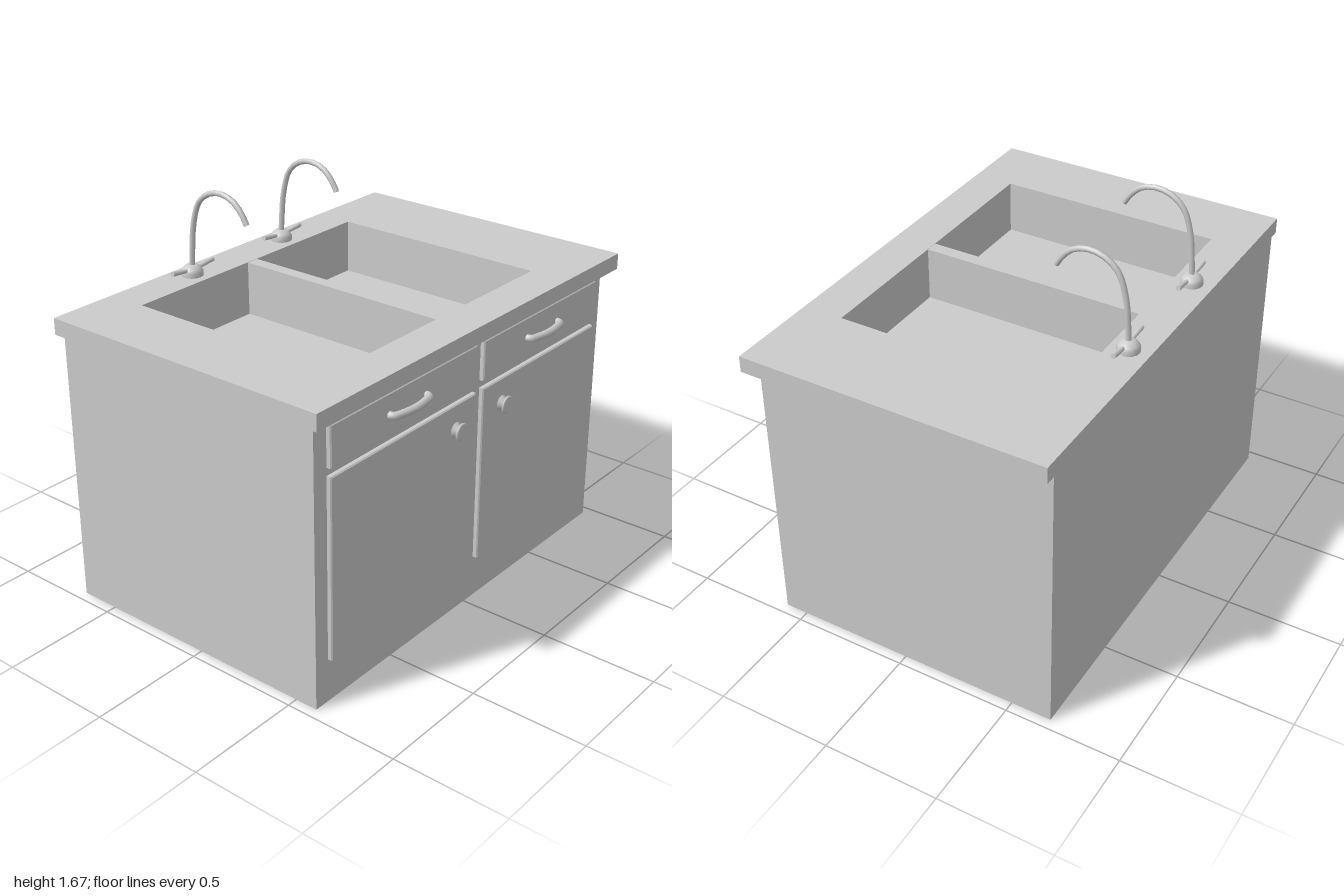
import * as THREE from 'three';

const mat = new THREE.MeshStandardMaterial({ color: 0xcccccc, side: THREE.DoubleSide });
const V = (x, y, z) => new THREE.Vector3(x, y, z);

function add(parent, name, geometry, x = 0, y = 0, z = 0) {
  const mesh = new THREE.Mesh(geometry, mat);
  mesh.name = name;
  mesh.position.set(x, y, z);
  parent.add(mesh);
  return mesh;
}

// Box given by its limits, optionally without its top face
function addBox(parent, name, x0, x1, y0, y1, z0, z1, open = false) {
  const geo = new THREE.BoxGeometry(x1 - x0, y1 - y0, z1 - z0);
  if (open) {
    const index = Array.from(geo.index.array);
    index.splice(12, 6);
    geo.setIndex(index);
    geo.clearGroups();
  }
  return add(parent, name, geo, (x0 + x1) / 2, (y0 + y1) / 2, (z0 + z1) / 2);
}

// Rectangle in the XY plane
function rect(path, x0, x1, y0, y1) {
  path.moveTo(x0, y0);
  path.lineTo(x1, y0);
  path.lineTo(x1, y1);
  path.lineTo(x0, y1);
  path.closePath();
  return path;
}

// Thin panel with a small chamfer, on the +x side of the cabinet
function addPanel(parent, name, z0, z1, y0, y1) {
  const b = 0.005;
  const geo = new THREE.ExtrudeGeometry(rect(new THREE.Shape(), -z1 + b, -z0 - b, y0 + b, y1 - b), {
    depth: 0.016, bevelEnabled: true, bevelSize: b, bevelThickness: b, bevelSegments: 1,
  });
  geo.rotateY(Math.PI / 2);
  add(parent, name, geo, 0.6, 0, 0);
}

// Bowed drawer pull
function addHandle(parent, z) {
  const curve = new THREE.CatmullRomCurve3([
    V(0.615, 0, -0.112), V(0.638, 0, -0.108), V(0.652, 0, -0.065), V(0.659, 0, 0),
    V(0.652, 0, 0.065), V(0.638, 0, 0.108), V(0.615, 0, 0.112),
  ]);
  add(parent, 'drawerHandle', new THREE.TubeGeometry(curve, 20, 0.016, 8), 0, 1.088, z);
}

// Round door knob with a waisted stem
function addKnob(parent, z) {
  const profile = [[0.034, 0], [0.018, 0.02], [0.018, 0.024], [0.037, 0.026], [0.037, 0.033], [0.033, 0.036], [0, 0.036]];
  const geo = new THREE.LatheGeometry(profile.map(([r, h]) => new THREE.Vector2(r, h)), 20);
  geo.rotateZ(-Math.PI / 2);
  add(parent, 'doorKnob', geo, 0.62, 0.86, z);
}

// Gooseneck tap with a base and two levers
function createTap(z) {
  const tap = new THREE.Group();
  tap.name = 'tap';
  tap.position.set(-0.585, 1.275, z);
  const base = [[0.047, 0], [0.047, 0.02], [0.04, 0.032], [0.024, 0.046], [0, 0.048]];
  add(tap, 'tapBase', new THREE.LatheGeometry(base.map(([r, h]) => new THREE.Vector2(r, h)), 16));

  const spout = new THREE.CatmullRomCurve3([
    V(0, 0.02, 0), V(0.007, 0.12, 0), V(0.02, 0.225, 0), V(0.055, 0.325, 0), V(0.11, 0.371, 0),
    V(0.175, 0.386, 0), V(0.24, 0.37, 0), V(0.285, 0.332, 0), V(0.316, 0.283, 0),
  ]);
  add(tap, 'tapSpout', new THREE.TubeGeometry(spout, 18, 0.012, 8));
  const tip = add(tap, 'spoutTip', new THREE.CircleGeometry(0.012, 8), 0.316, 0.283, 0);
  tip.lookAt(V(0.316, 0.283, 0).add(spout.getTangent(1)));

  for (const side of [-1, 1]) {
    const lever = add(tap, 'tapLever', new THREE.CylinderGeometry(0.011, 0.008, 0.1, 8), 0.005, 0.032, side * 0.068);
    lever.rotation.x = side * (Math.PI / 2 - 0.12);
  }
  return tap;
}

export function createModel() {
  const model = new THREE.Group();
  model.name = 'sinkCabinet';

  // Cabinet body, open under the worktop
  addBox(model, 'cabinetBody', -0.675, 0.6, 0, 1.205, -0.955, 0.955, true);

  // Worktop with the sink cut-out
  const top = rect(new THREE.Shape(), -0.675, 0.655, -1, 1);
  top.holes.push(rect(new THREE.Path(), -0.505, 0.48, -0.695, 0.59));
  const topGeo = new THREE.ExtrudeGeometry(top, { depth: 0.07, bevelEnabled: false });
  topGeo.rotateX(-Math.PI / 2);
  add(model, 'worktop', topGeo, 0, 1.205, 0);

  // Sink basin and the divider that makes two bowls
  addBox(model, 'sinkBasin', -0.505, 0.48, 1.04, 1.205, -0.59, 0.695, true);
  addBox(model, 'sinkDivider', -0.505, 0.48, 1.04, 1.274, 0.022, 0.078);

  // Drawers and doors
  for (const [z0, z1, knobZ] of [[-0.008, 0.885, 0.126], [-0.887, -0.056, -0.19]]) {
    addPanel(model, 'drawerFront', z0, z1, 1.003, 1.177);
    addPanel(model, 'door', z0, z1, 0.19, 0.97);
    addHandle(model, (z0 + z1) / 2);
    addKnob(model, knobZ);
  }

  // Taps
  for (const z of [0.33, -0.225]) model.add(createTap(z));

  return model;
}
